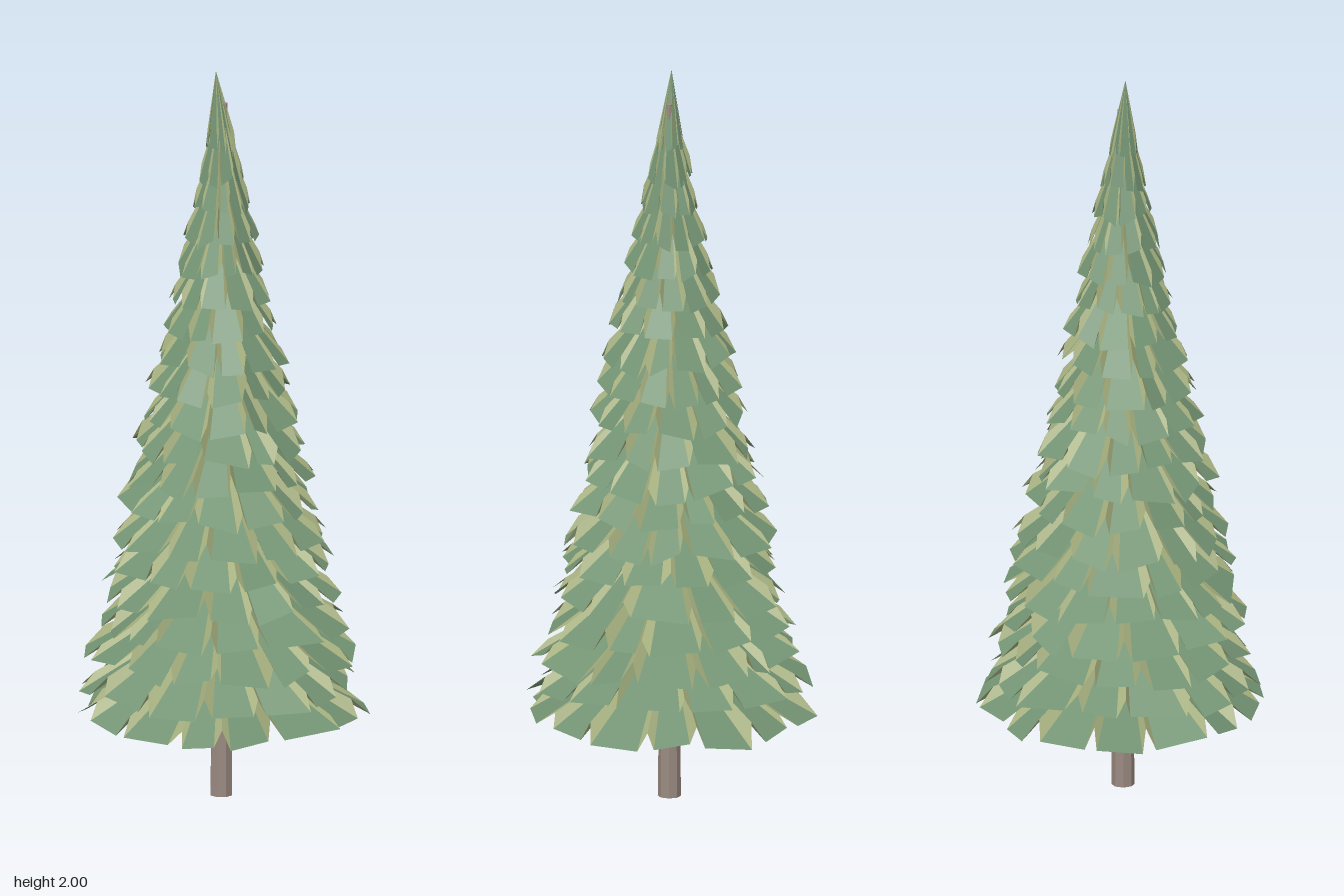
import * as THREE from 'three';

// Small seeded generator for natural variation
function seeded(seed) {
  return () => {
    seed = (seed * 16807) % 2147483647;
    return seed / 2147483647;
  };
}

function facetMesh(points, material, name) {
  const geometry = new THREE.BufferGeometry().setFromPoints(points);
  geometry.computeVertexNormals();
  const mesh = new THREE.Mesh(geometry, material);
  mesh.name = name;
  return mesh;
}

export function createModel() {
  const group = new THREE.Group();
  group.name = 'pineTree';
  const rand = seeded(4217);
  const jitter = (amount) => (rand() * 2 - 1) * amount;

  const bark = new THREE.MeshStandardMaterial({ color: 0x9a8a80, flatShading: true });
  const needle = new THREE.MeshStandardMaterial({ color: 0x739373, flatShading: true, side: THREE.DoubleSide });
  const paleNeedle = new THREE.MeshStandardMaterial({ color: 0xa3ad7c, flatShading: true, side: THREE.DoubleSide });

  // Trunk: a slim tapered pole, leaning slightly, running almost to the tip
  const trunkGeometry = new THREE.CylinderGeometry(0.007, 0.031, 1.91, 8);
  trunkGeometry.translate(0, 0.955, 0);
  const trunk = new THREE.Mesh(trunkGeometry, bark);
  trunk.name = 'trunk';
  trunk.rotation.z = -0.006;
  group.add(trunk);

  // Tiers: thin closed skirts of broad boughs joined by narrow pale valleys
  const tiers = 20;
  for (let t = 0; t < tiers; t++) {
    const k = t / (tiers - 1);
    const rimY = 0.232 + 1.55 * k;
    const radius = 0.385 - 0.345 * k + 0.008 * Math.sin(k * Math.PI);
    const apex = new THREE.Vector3(jitter(0.005), rimY + 0.215, jitter(0.005));
    if (t === tiers - 1) apex.set(-0.013, 2, -0.005);

    const count = Math.round(14 - 4 * k);
    const step = (Math.PI * 2) / count;
    const turn = rand() * step;
    const polar = (a, r, y) => new THREE.Vector3(Math.cos(a) * r, y, Math.sin(a) * r);

    // Rim: two drooping bough corners with a raised valley point between them
    const rim = [];
    for (let i = 0; i < count; i++) {
      const a = turn + (i + jitter(0.18)) * step;
      const r = radius * (1 + jitter(0.06));
      const y = rimY + jitter(0.016);
      const gap = step * (0.26 + jitter(0.06));
      const inner = 0.95 + jitter(0.03);
      // the longer corner may lie on either side of the valley
      const swap = rand() < 0.5;
      rim.push({
        left: polar(a - gap / 2, swap ? r : r * inner, y),
        valley: polar(a + jitter(gap * 0.2), r * 0.88, y + 0.042 + jitter(0.01)),
        right: polar(a + gap / 2, swap ? r * inner : r, y + jitter(0.01)),
      });
    }

    const boughs = [];
    const folds = [];
    rim.forEach(({ left, valley, right }, i) => {
      const next = rim[(i + 1) % count].left;
      boughs.push(apex, next, right);
      folds.push(apex, valley, left, apex, right, valley);
    });

    const tier = new THREE.Group();
    tier.name = `branchTier${t + 1}`;
    tier.add(facetMesh(boughs, needle, 'boughs'), facetMesh(folds, paleNeedle, 'folds'));
    group.add(tier);
  }

  return group;
}
